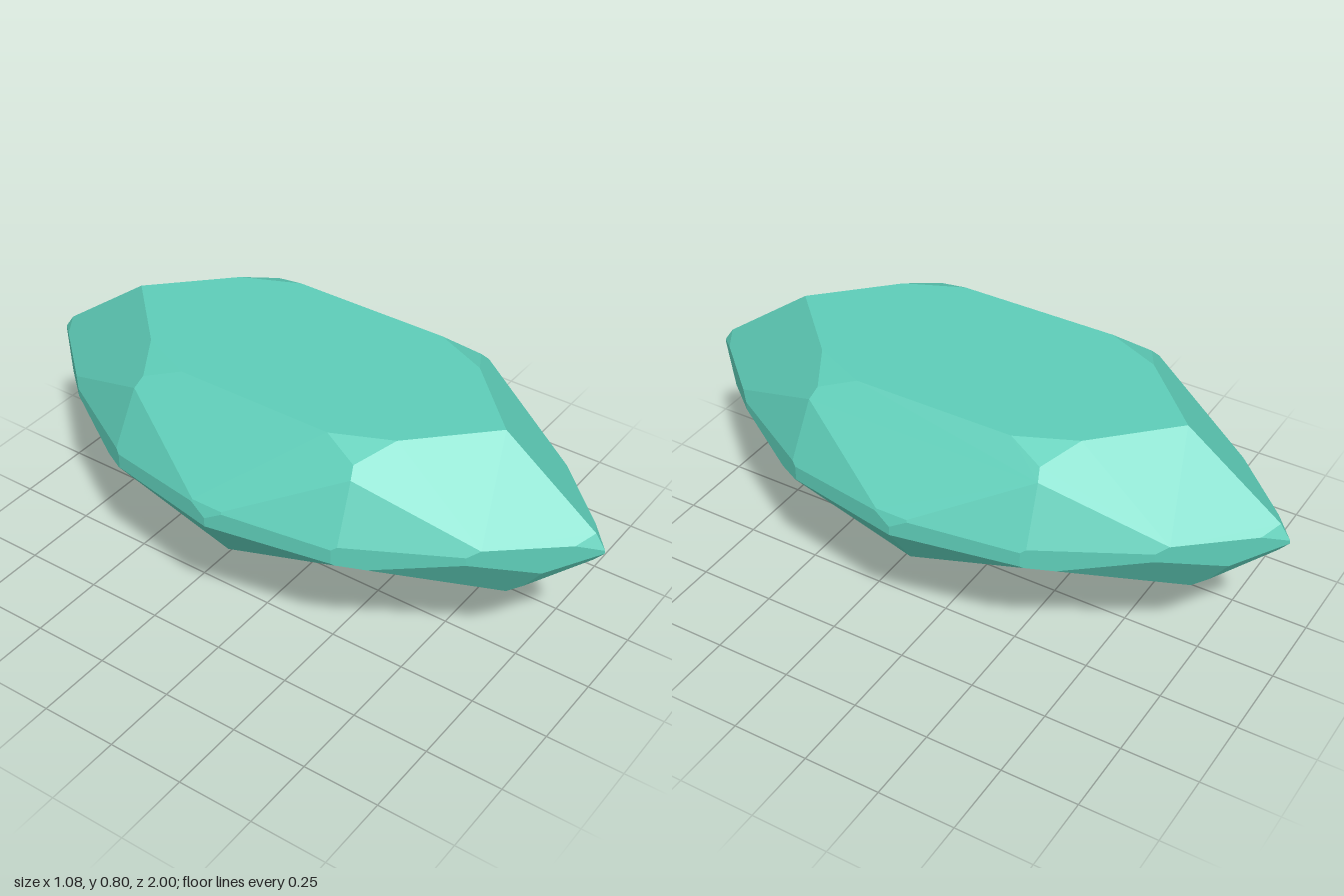
import * as THREE from 'three';

const V = (p) => new THREE.Vector3(...p);

// Each facet is the plane through three points; it is mirrored in x and z.
const FACETS = [
  [[0, .8, 0], [1, .8, 0], [0, .8, 1]],                        // table
  [[0, .8, .66], [.22, .8, .44], [0, .57, .97]],               // end crown main
  [[.3, .8, 0], [.3, .8, .26], [.525, .568, 0]],               // side crown main
  [[.22, .8, .44], [.3, .8, .26], [.339, .76, .375]],          // table corner
  [[.368, .73, .387], [.45, .555, .4], [.24, .56, .744]],      // crown half, end side
  [[.368, .73, .387], [.45, .555, .4], [.525, .57, .05]],      // crown half, flank side
  [[.525, .57, 0], [.54, .53, 0], [.54, .53, .2]],             // flank bevel
  [[0, .575, .965], [0, .525, 1], [.05, .55, .944]],           // tip bevel
  [[.54, .5, 0], [.54, .6, 0], [.46, .5, .385]],               // girdle walls
  [[.46, .5, .385], [.46, .6, .385], [.27, .5, .71]],
  [[.27, .5, .71], [.27, .6, .71], [0, .5, 1]],
  [[0, 0, 0], [.435, .345, 0], [0, .21, .65]],                 // pavilion main
  [[.435, .345, 0], [.54, .5, 0], [.455, .49, .4]],            // pavilion flank
  [[.1, .325, .76], [.12, .46, .87], [.42, .49, .47]],         // pavilion half
  [[0, .21, .65], [0, .48, .97], [.1, .33, .76]],              // pavilion end
  [[0, .48, .97], [0, .515, 1], [.12, .46, .87]],              // pavilion tip
];

// Outward planes, mirrored and without duplicates
function facetPlanes() {
  const centre = new THREE.Vector3(0, .45, 0);
  const planes = [];
  for (const f of FACETS) for (const sx of [1, -1]) for (const sz of [1, -1]) {
    const p = new THREE.Plane().setFromCoplanarPoints(
      ...f.map(([x, y, z]) => V([x * sx, y, z * sz])));
    if (p.distanceToPoint(centre) > 0) p.negate();
    const seen = planes.some((q) =>
      q.normal.distanceTo(p.normal) < 1e-4 && Math.abs(q.constant - p.constant) < 1e-4);
    if (!seen) planes.push(p);
  }
  return planes;
}

// Corners are plane triples that lie inside every other plane
function corners(planes) {
  const out = [];
  const bc = new THREE.Vector3(), pt = new THREE.Vector3(), t = new THREE.Vector3();
  for (let i = 0; i < planes.length; i++)
    for (let j = i + 1; j < planes.length; j++)
      for (let k = j + 1; k < planes.length; k++) {
        const [a, b, c] = [planes[i], planes[j], planes[k]];
        bc.crossVectors(b.normal, c.normal);
        const det = a.normal.dot(bc);
        if (Math.abs(det) < 1e-5) continue;
        pt.copy(bc).multiplyScalar(-a.constant)
          .addScaledVector(t.crossVectors(c.normal, a.normal), -b.constant)
          .addScaledVector(t.crossVectors(a.normal, b.normal), -c.constant)
          .divideScalar(det);
        if (planes.every((p) => p.distanceToPoint(pt) < 1e-5) &&
            !out.some((o) => o.distanceTo(pt) < 1e-4)) out.push(pt.clone());
      }
  return out;
}

// Fan each facet around its middle, counter-clockwise from outside
function gemGeometry() {
  const planes = facetPlanes();
  const points = corners(planes);
  const pos = [], nor = [];
  for (const p of planes) {
    const ring = points.filter((q) => Math.abs(p.distanceToPoint(q)) < 1e-4);
    if (ring.length < 3) continue;
    const mid = ring.reduce((s, q) => s.add(q), new THREE.Vector3()).divideScalar(ring.length);
    const u = ring[0].clone().sub(mid).normalize();
    const v = new THREE.Vector3().crossVectors(p.normal, u);
    const angle = (q) => { const d = q.clone().sub(mid); return Math.atan2(d.dot(v), d.dot(u)); };
    ring.sort((a, b) => angle(a) - angle(b));
    for (let i = 1; i < ring.length - 1; i++)
      for (const q of [ring[0], ring[i], ring[i + 1]]) {
        pos.push(q.x, q.y, q.z);
        nor.push(p.normal.x, p.normal.y, p.normal.z);
      }
  }
  const g = new THREE.BufferGeometry();
  g.setAttribute('position', new THREE.Float32BufferAttribute(pos, 3));
  g.setAttribute('normal', new THREE.Float32BufferAttribute(nor, 3));
  return g;
}

export function createModel() {
  const group = new THREE.Group();
  group.name = 'marquiseGem';
  const material = new THREE.MeshStandardMaterial({ color: 0x5ecdb8 });
  material.name = 'sea green';
  const gem = new THREE.Mesh(gemGeometry(), material);
  gem.name = 'cutStone';
  group.add(gem);
  return group;
}
